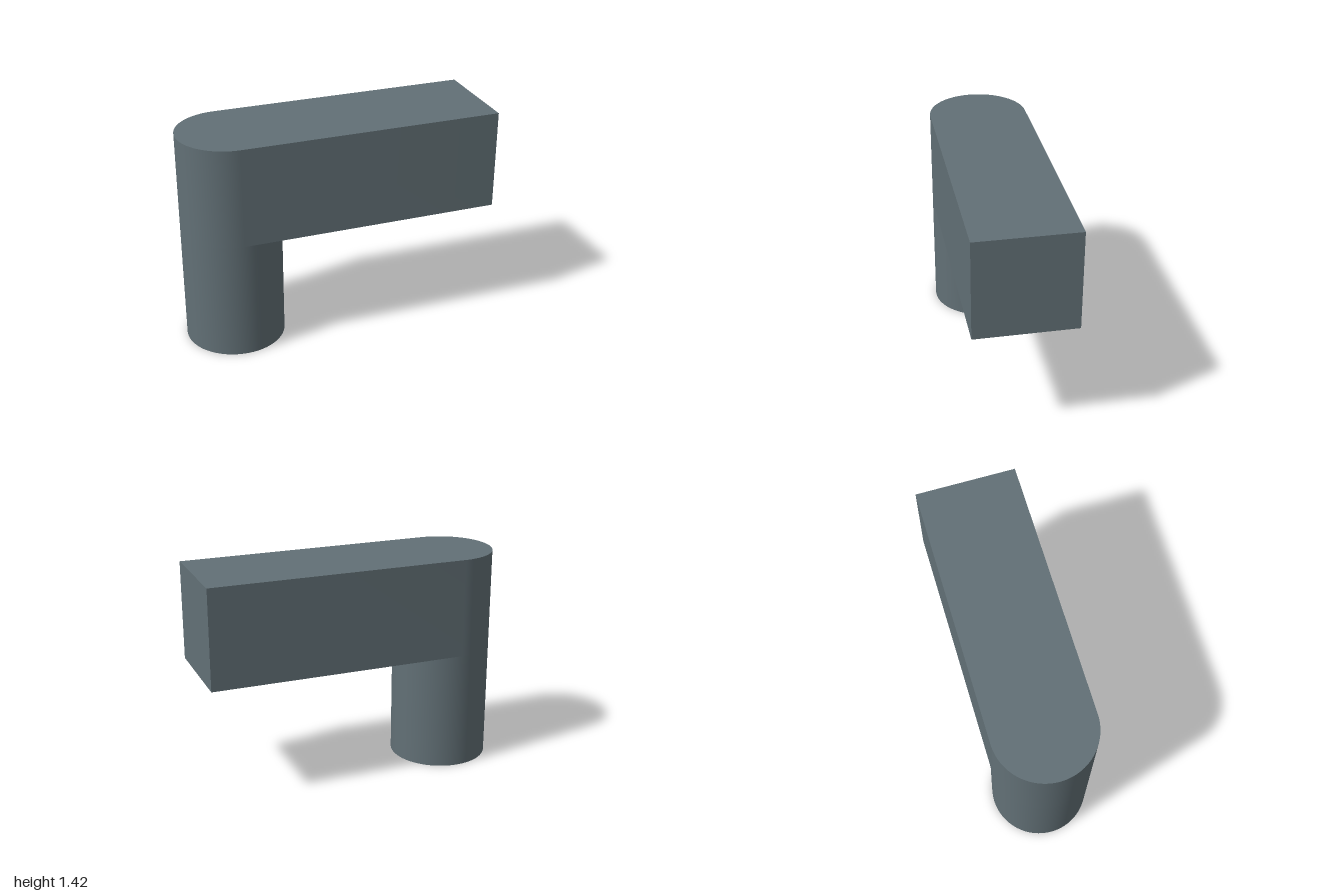
import * as THREE from 'three';
import { toCreasedNormals } from 'three/addons/utils/BufferGeometryUtils.js';

const RADIUS = 0.322;
const POST_X = -1 + RADIUS;
const ARM_BOTTOM = 0.776;
const TOP = 1.42;

export function createModel() {
  const group = new THREE.Group();
  const slateGrey = new THREE.MeshStandardMaterial({ color: 0x627076 });
  slateGrey.name = 'slateGrey';

  // Round post standing on the ground
  const post = new THREE.Mesh(
    new THREE.CylinderGeometry(RADIUS, RADIUS, ARM_BOTTOM, 64),
    slateGrey
  );
  post.name = 'post';
  post.position.set(POST_X, ARM_BOTTOM / 2, 0);
  group.add(post);

  // Horizontal arm: square free end, half-round end flush with the post
  const outline = new THREE.Shape();
  outline.moveTo(1, -RADIUS);
  outline.lineTo(1, RADIUS);
  outline.lineTo(POST_X, RADIUS);
  outline.absarc(POST_X, 0, RADIUS, Math.PI / 2, Math.PI * 1.5, false);
  outline.closePath();
  const armGeometry = new THREE.ExtrudeGeometry(outline, {
    depth: TOP - ARM_BOTTOM,
    bevelEnabled: false,
    curveSegments: 32,
  });
  armGeometry.rotateX(-Math.PI / 2);
  const arm = new THREE.Mesh(toCreasedNormals(armGeometry, Math.PI / 6), slateGrey);
  arm.name = 'arm';
  arm.position.y = ARM_BOTTOM;
  group.add(arm);

  return group;
}
